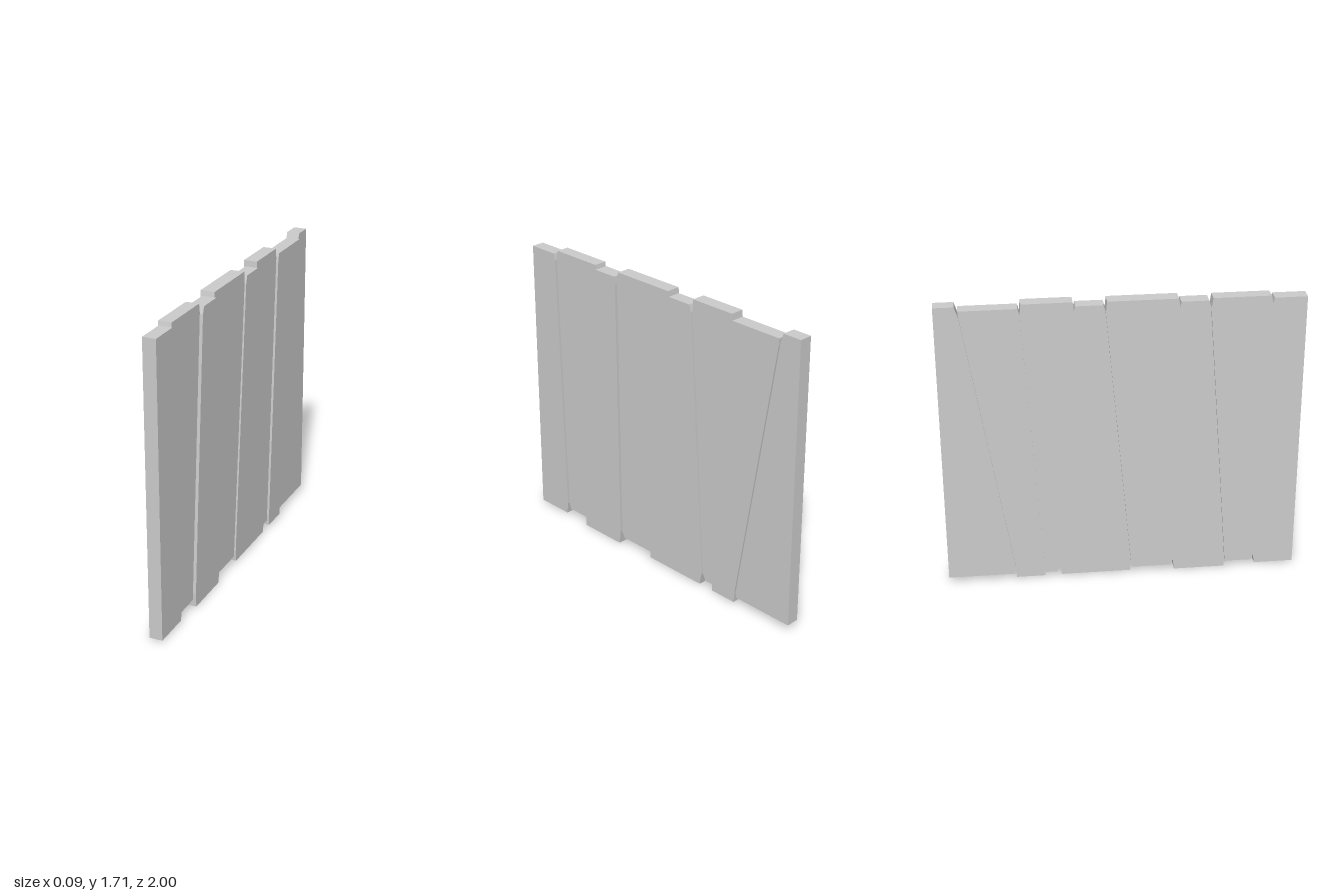
import * as THREE from 'three';

// Seams between neighbouring planks: z near the top (y 1.64) and near the bottom (y 0.08)
const seams = [[0.81, 0.765], [0.478, 0.597], [0.31, 0.292], [-0.088, 0.05],
  [-0.263, -0.365], [-0.545, -0.447], [-0.868, -0.618]];

// Planks: z of top corners, z of bottom corners, bottom y, top y, back x, front x
const planks = [
  [1, 0.82, 1, 0.775, 0.01, 1.68, -0.035, 0.04],
  [0.8, 0.485, 0.753, 0.6, 0.04, 1.698, -0.047, 0.027],
  [0.465, 0.315, 0.594, 0.302, 0.0, 1.68, -0.035, 0.045],
  [0.3, -0.083, 0.275, 0.056, 0.04, 1.705, -0.05, 0.03],
  [-0.1, -0.25, 0.045, -0.352, 0.01, 1.68, -0.035, 0.04],
  [-0.265, -0.54, -0.382, -0.446, 0.04, 1.71, -0.05, 0.027],
  [-0.555, -0.87, -0.449, -0.612, 0.01, 1.68, -0.037, 0.04],
  [-0.888, -1, -0.621, -1, 0.038, 1.708, -0.045, 0.03],
];

export function createModel() {
  const group = new THREE.Group();
  group.name = 'plankWall';
  const material = new THREE.MeshStandardMaterial({ color: 0xcccccc, flatShading: true });

  planks.forEach(([topA, topB, lowA, lowB, y0, y1, x0, x1], i) => {
    // recessed planks reach slightly under their neighbours
    const lap = i % 2 ? 0.002 : 0;
    const a = seams[i - 1], b = seams[i];
    const outline = [[lowA, y0], [lowB, y0]];
    if (b) outline.push([b[1] - lap, 0.08], [b[0] - lap, 1.64]);
    outline.push([topB, y1], [topA, y1]);
    if (a) outline.push([a[0] + lap, 1.64], [a[1] + lap, 0.08]);

    const shape = new THREE.Shape(outline.map(([z, y]) => new THREE.Vector2(-z, y)));
    const geometry = new THREE.ExtrudeGeometry(shape, { depth: x1 - x0, bevelEnabled: false });
    geometry.rotateY(Math.PI / 2);
    geometry.translate(x0, 0, 0);
    const mesh = new THREE.Mesh(geometry, material);
    mesh.name = `plank${i + 1}`;
    group.add(mesh);
  });
  return group;
}
